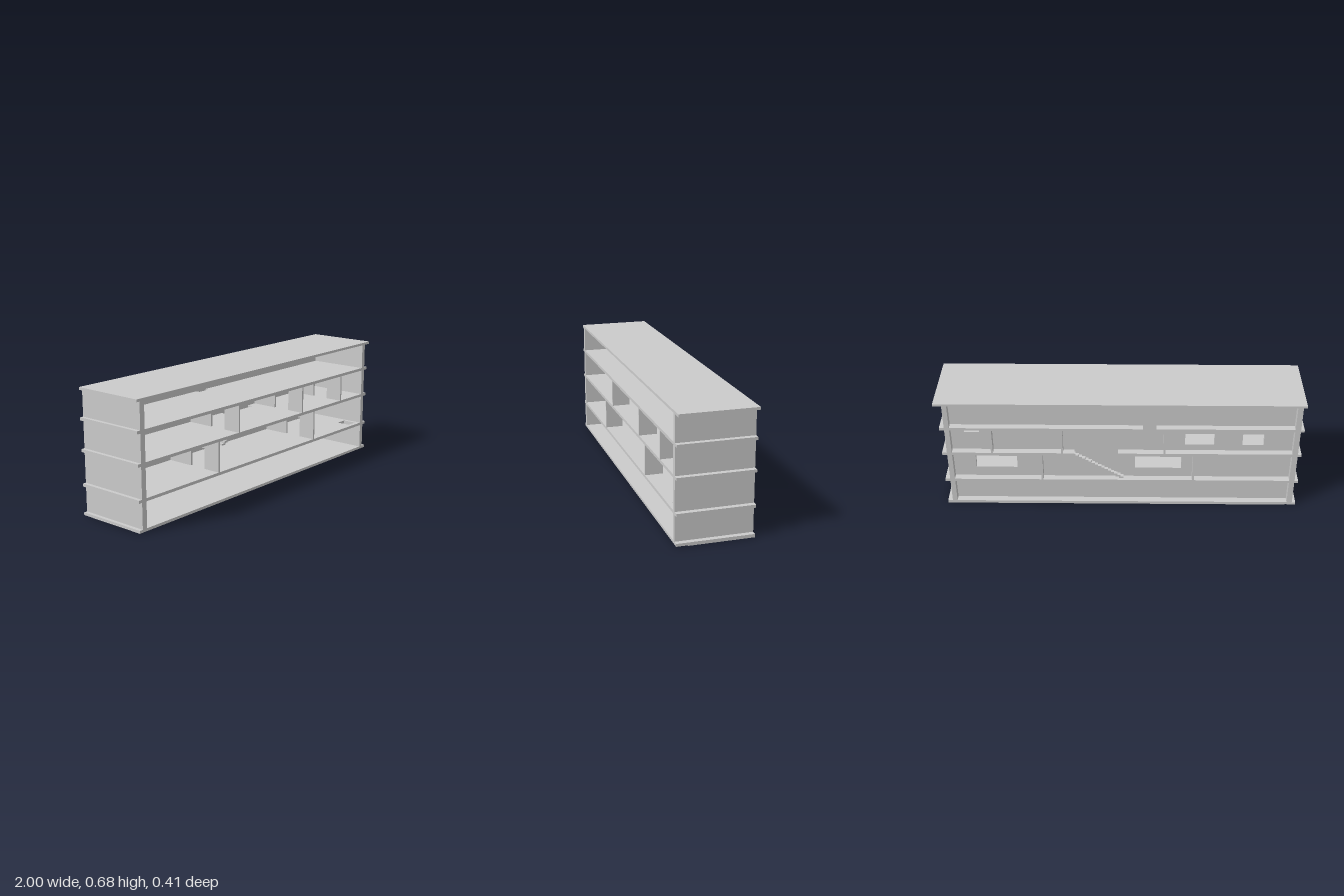
import * as THREE from 'three';

const material = new THREE.MeshStandardMaterial({ color: 0xcccccc, flatShading: true });
const Z = 0.205; // half depth of the building

function addMesh(parent, name, geometry) {
  const mesh = new THREE.Mesh(geometry, material);
  mesh.name = name;
  parent.add(mesh);
  return mesh;
}

// Box given by its limits on each axis
function addBox(parent, name, x0, x1, y0, y1, z0, z1) {
  const mesh = addMesh(parent, name, new THREE.BoxGeometry(x1 - x0, y1 - y0, z1 - z0));
  mesh.position.set((x0 + x1) / 2, (y0 + y1) / 2, (z0 + z1) / 2);
}

const corners = (x0, x1, y0, y1) =>
  [[x0, y0], [x1, y0], [x1, y1], [x0, y1]].map(([x, y]) => new THREE.Vector2(x, y));

// Extruded outline with rectangular holes
function plate(outline, holes, depth) {
  const shape = new THREE.Shape(outline);
  holes.forEach(h => shape.holes.push(new THREE.Path(corners(...h))));
  return new THREE.ExtrudeGeometry(shape, { depth, bevelEnabled: false });
}

// Floor slab; notch = [x0, x1, z] opens the back edge, holes are [x0, x1, z0, z1]
function addSlab(parent, name, y0, y1, xEnd, notch, holes = []) {
  const outline = corners(-1, xEnd, -Z, Z);
  if (notch) {
    const [a, b, z] = notch;
    outline.splice(3, 0, ...[[b, Z], [b, -z], [a, -z], [a, Z]].map(p => new THREE.Vector2(...p)));
  }
  const flipped = holes.map(([a, b, z0, z1]) => [a, b, -z1, -z0]);
  const geometry = plate(outline, flipped, y1 - y0);
  geometry.rotateX(-Math.PI / 2);
  addMesh(parent, name, geometry).position.y = y0;
}

// Cross wall with a doorway
function addPartition(parent, x, y0, y1) {
  const pts = [[-Z, y0], [-0.005, y0], [-0.005, y0 + 0.115], [-0.105, y0 + 0.115],
    [-0.105, y0], [-Z, y0]];
  const outline = [[-Z, y0], pts[4], pts[3], pts[2], pts[1], [Z, y0], [Z, y1], [-Z, y1]]
    .map(p => new THREE.Vector2(...p));
  const geometry = plate(outline, [], 0.011);
  geometry.rotateY(Math.PI / 2); // outline x becomes -z
  addMesh(parent, 'partition', geometry).position.x = x - 0.0055;
}

export function createModel() {
  const model = new THREE.Group();
  model.name = 'building';

  // Base and floor slabs
  addBox(model, 'basePlate', -0.94, 0.98, 0, 0.003, -Z, 0.145);
  addSlab(model, 'groundSlab', 0.003, 0.018, 0.98);
  addSlab(model, 'firstFloorSlab', 0.158, 0.174, 0.98, null, [[0.835, 0.905, 0.1, 0.18]]);
  addSlab(model, 'secondFloorSlab', 0.342, 0.358, 0.98, [0.01, 0.25, -0.115]);
  addSlab(model, 'thirdFloorSlab', 0.508, 0.524, 0.98, [-0.2, -0.126, -0.125]);
  addSlab(model, 'roofSlab', 0.666, 0.68, 1);

  // End walls, storey by storey
  const storeys = [[0.018, 0.158], [0.174, 0.342], [0.358, 0.508], [0.524, 0.666]];
  for (const [y0, y1] of storeys) {
    addBox(model, 'rightEndWall', -0.98, -0.95, y0, y1, -Z, Z);
    addBox(model, 'leftEndWall', 0.926, 0.953, y0, y1, -Z, Z);
  }

  // Recessed back wall with windows
  const windows = [
    [-0.792, -0.675, 0.396, 0.468], [-0.52, -0.359, 0.396, 0.468], [0.771, 0.857, 0.471, 0.49],
    [-0.343, -0.086, 0.233, 0.31], [0.573, 0.803, 0.233, 0.31],
  ];
  addMesh(model, 'backWall', plate(corners(-0.95, 0.926, 0.018, 0.666), windows, 0.02))
    .position.z = -0.168;

  // Partitions of the two middle storeys
  [-0.41, 0.433].forEach(x => addPartition(model, x, ...storeys[1]));
  [-0.246, 0.318, 0.704].forEach(x => addPartition(model, x, ...storeys[2]));

  // Staircase of thin overlapping steps
  const stairs = new THREE.Group();
  stairs.name = 'staircase';
  model.add(stairs);
  const count = 16, run = 0.285 / count, rise = 0.168 / count;
  for (let i = 0; i < count; i++) {
    const x = -0.022 + i * run, y = 0.174 + i * rise;
    addBox(stairs, 'step', x, x + run * 1.5, y, y + rise, -0.188, -0.115);
  }
  return model;
}
